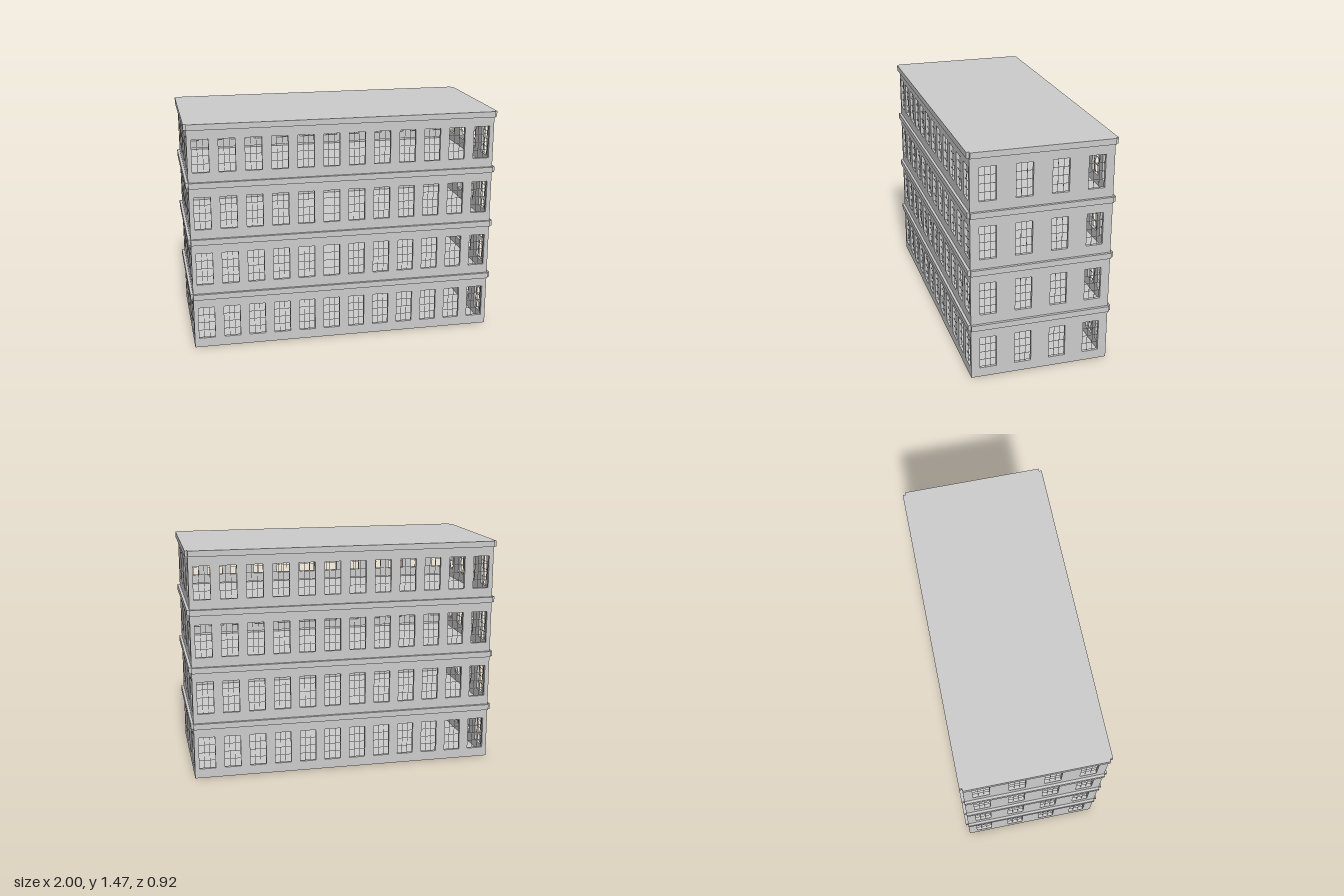
import * as THREE from 'three';
import { mergeGeometries } from 'three/addons/utils/BufferGeometryUtils.js';

const STOREYS = 4, FLOOR_H = 0.3673, LEDGE_H = 0.037;
const HALF_X = 0.983, HALF_Z = 0.441, OVERHANG = 0.017;
const WALL_T = 0.02, WALL_H = FLOOR_H - LEDGE_H;
const WIN_W = 0.104, WIN_H = 0.209, SILL = 0.061, BAR = 0.0025;

const material = new THREE.MeshStandardMaterial({ color: 0xcccccc, flatShading: true });

// Window centres along a wall, spaced evenly about its middle
function windowCentres(count, pitch) {
  return Array.from({ length: count }, (_, i) => (i - (count - 1) / 2) * pitch);
}

function rectangle(target, x0, y0, x1, y1) {
  target.moveTo(x0, y0);
  target.lineTo(x1, y0);
  target.lineTo(x1, y1);
  target.lineTo(x0, y1);
  target.closePath();
  return target;
}

// Wall panel with its outer face on z = 0 and a row of window openings
function wallGeometry(half, centres) {
  const shape = rectangle(new THREE.Shape(), -half, 0, half, WALL_H);
  for (const c of centres) {
    shape.holes.push(rectangle(new THREE.Path(), c - WIN_W / 2, SILL, c + WIN_W / 2, SILL + WIN_H));
  }
  const geometry = new THREE.ExtrudeGeometry(shape, { depth: WALL_T, bevelEnabled: false });
  return geometry.translate(0, 0, -WALL_T);
}

// Thin glazing bars: three panes across, four panes high
function barGeometry(centres) {
  const bars = [];
  const z = -WALL_T / 2;
  for (const c of centres) {
    for (const i of [-1, 1]) {
      bars.push(new THREE.BoxGeometry(BAR, WIN_H, BAR).translate(c + i * WIN_W / 6, SILL + WIN_H / 2, z));
    }
    for (const i of [1, 2, 3]) {
      bars.push(new THREE.BoxGeometry(WIN_W, BAR, BAR).translate(c, SILL + WIN_H * i / 4, z));
    }
  }
  return mergeGeometries(bars);
}

// Floor slab and ledge in one, with notched corners
function slabGeometry() {
  const x = HALF_X, z = HALF_Z, o = OVERHANG;
  const outline = [
    [x, -z], [x + o, -z], [x + o, z], [x, z], [x, z + o], [-x, z + o],
    [-x, z], [-x - o, z], [-x - o, -z], [-x, -z], [-x, -z - o], [x, -z - o],
  ].map(([a, b]) => new THREE.Vector2(a, b));
  const geometry = new THREE.ExtrudeGeometry(new THREE.Shape(outline), { depth: LEDGE_H, bevelEnabled: false });
  return geometry.rotateX(-Math.PI / 2);
}

export function createModel() {
  const model = new THREE.Group();
  model.name = 'officeBuilding';

  const add = (parent, name, geometry) => {
    const mesh = new THREE.Mesh(geometry, material);
    mesh.name = name;
    parent.add(mesh);
    return mesh;
  };

  const longCentres = windowCentres(12, 0.164);
  const shortCentres = windowCentres(4, 0.222);
  const longWall = wallGeometry(HALF_X, longCentres);
  const shortWall = wallGeometry(HALF_Z - WALL_T, shortCentres);
  const longBars = barGeometry(longCentres);
  const shortBars = barGeometry(shortCentres);
  const slab = slabGeometry();

  const sides = [
    ['front', 0, HALF_Z, longWall, longBars],
    ['left', Math.PI / 2, HALF_X, shortWall, shortBars],
    ['back', Math.PI, HALF_Z, longWall, longBars],
    ['right', -Math.PI / 2, HALF_X, shortWall, shortBars],
  ];

  // Ground plate
  add(model, 'groundPlate', new THREE.BoxGeometry(2 * (HALF_X - 0.001), 0.005, 2 * (HALF_Z - 0.001)))
    .position.y = 0.0025;

  // Storeys: four walls with windows, topped by a ledge slab
  for (let level = 0; level < STOREYS; level++) {
    const storey = new THREE.Group();
    storey.name = `storey${level + 1}`;
    storey.position.y = level * FLOOR_H;
    for (const [name, angle, distance, wall, bars] of sides) {
      const side = new THREE.Group();
      side.name = `${name}Side`;
      side.rotation.y = angle;
      side.position.set(Math.sin(angle) * distance, 0, Math.cos(angle) * distance);
      add(side, `${name}Wall`, wall);
      add(side, `${name}WindowBars`, bars);
      storey.add(side);
    }
    add(storey, level === STOREYS - 1 ? 'roof' : 'floorLedge', slab).position.y = WALL_H;
    model.add(storey);
  }
  return model;
}
